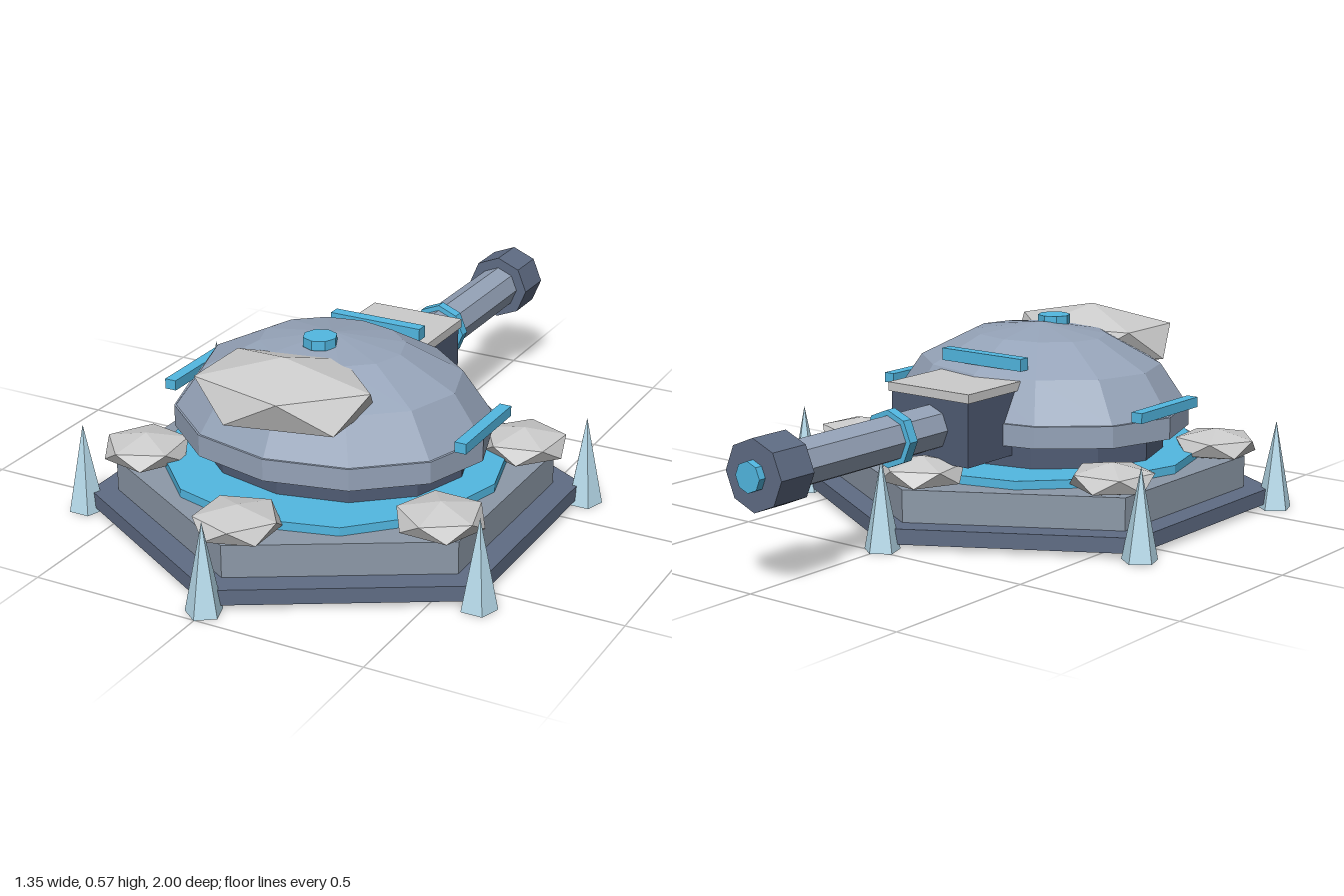
import * as THREE from 'three';

const CZ = 0.235; // centre of the turret and base along z

const mat = (color) => new THREE.MeshStandardMaterial({ color, flatShading: true });

export function createModel() {
  const group = new THREE.Group();
  const slate = mat(0x5f6c84);
  const dark = mat(0x4f5b73);
  const stone = mat(0x8d99a8);
  const steel = mat(0x95a3b8);
  const blue = mat(0x52b8e2);
  const snow = mat(0xe6e6e6);
  const ice = mat(0xb8dcec);

  function add(name, geometry, material, x, y, z) {
    const mesh = new THREE.Mesh(geometry, material);
    mesh.name = name;
    mesh.position.set(x, y, z);
    group.add(mesh);
    return mesh;
  }

  // upright prism between two heights, optionally flattened in z
  function prism(name, r, y0, y1, sides, material, z = CZ, zScale = 1) {
    const g = new THREE.CylinderGeometry(r, r, y1 - y0, sides).scale(1, 1, zScale);
    return add(name, g, material, 0, (y0 + y1) / 2, z);
  }

  // octagonal prism lying along z between two depths
  function barrelPart(name, r, z0, z1, material) {
    const g = new THREE.CylinderGeometry(r, r, Math.abs(z1 - z0), 8).rotateX(Math.PI / 2);
    return add(name, g, material, 0, 0.312, (z0 + z1) / 2);
  }

  // squashed icosahedron standing on one corner
  function rock(name, rx, ry, rz, x, y, z, turn = 0) {
    const g = new THREE.IcosahedronGeometry(1, 0)
      .rotateZ(Math.atan(2 / (1 + Math.sqrt(5))))
      .rotateY(Math.PI + turn)
      .scale(rx, ry, rz);
    return add(name, g, snow, x, y, z);
  }

  // hexagonal base, glowing ring and neck
  prism('basePlate', 0.707, 0.015, 0.06, 6, slate);
  prism('baseDeck', 0.627, 0.06, 0.155, 6, stone);
  prism('glowRing', 0.5, 0.155, 0.18, 12, blue);
  prism('turretNeck', 0.4, 0.18, 0.25, 12, dark, CZ, 0.84);

  // turret: drum with a faceted dome
  prism('turretDrum', 0.47, 0.25, 0.314, 12, steel, CZ + 0.015, 0.835);
  const dome = new THREE.SphereGeometry(0.47, 12, 3, 0, Math.PI * 2, 0, Math.PI * 0.45)
    .scale(1, 0.274 / 0.47, 0.835);
  add('turretDome', dome, steel, 0, 0.272, CZ + 0.015);

  // blue lights on the turret
  prism('topLight', 0.049, 0.53, 0.558, 8, blue, 0.32);
  prism('topLightStem', 0.03, 0.48, 0.53, 8, blue, 0.32);
  add('upperLightBar', new THREE.BoxGeometry(0.29, 0.036, 0.036), blue, 0, 0.472, -0.018);
  for (const side of [-1, 1]) {
    add('sideLightBar', new THREE.BoxGeometry(0.035, 0.03, 0.29), blue, side * 0.462, 0.34, CZ);
  }

  // gun: mantlet with a snow cap, barrel, collar and muzzle
  add('mantlet', new THREE.BoxGeometry(0.28, 0.187, 0.28), dark, 0, 0.3075, -0.13);
  add('mantletSnow', new THREE.BoxGeometry(0.294, 0.026, 0.28), snow, 0, 0.414, -0.137);
  barrelPart('barrel', 0.067, -0.2, -0.88, steel);
  barrelPart('barrelCollar', 0.083, -0.42, -0.452, blue);
  barrelPart('muzzle', 0.1, -0.855, -0.978, slate);
  barrelPart('muzzleCore', 0.043, -0.95, -1.0, blue);

  // snow heap on the dome, and a rock and an ice spike at each corner of the base
  rock('domeSnow', 0.296, 0.1, 0.215, 0, 0.466, 0.52);
  for (let i = 0; i < 6; i++) {
    const a = (i * Math.PI) / 3;
    const sx = Math.sin(a);
    const cz = Math.cos(a);
    rock('cornerSnow', 0.135, 0.048, 0.135, sx * 0.54, 0.19, CZ + cz * 0.54, i * 0.9);

    const spike = new THREE.ConeGeometry(0.053, 0.265, 5).rotateY(i === 0 ? 0 : Math.PI);
    add('iceSpike', spike, ice, sx * 0.72, 0.1325, CZ + cz * 0.715);
  }

  return group;
}
